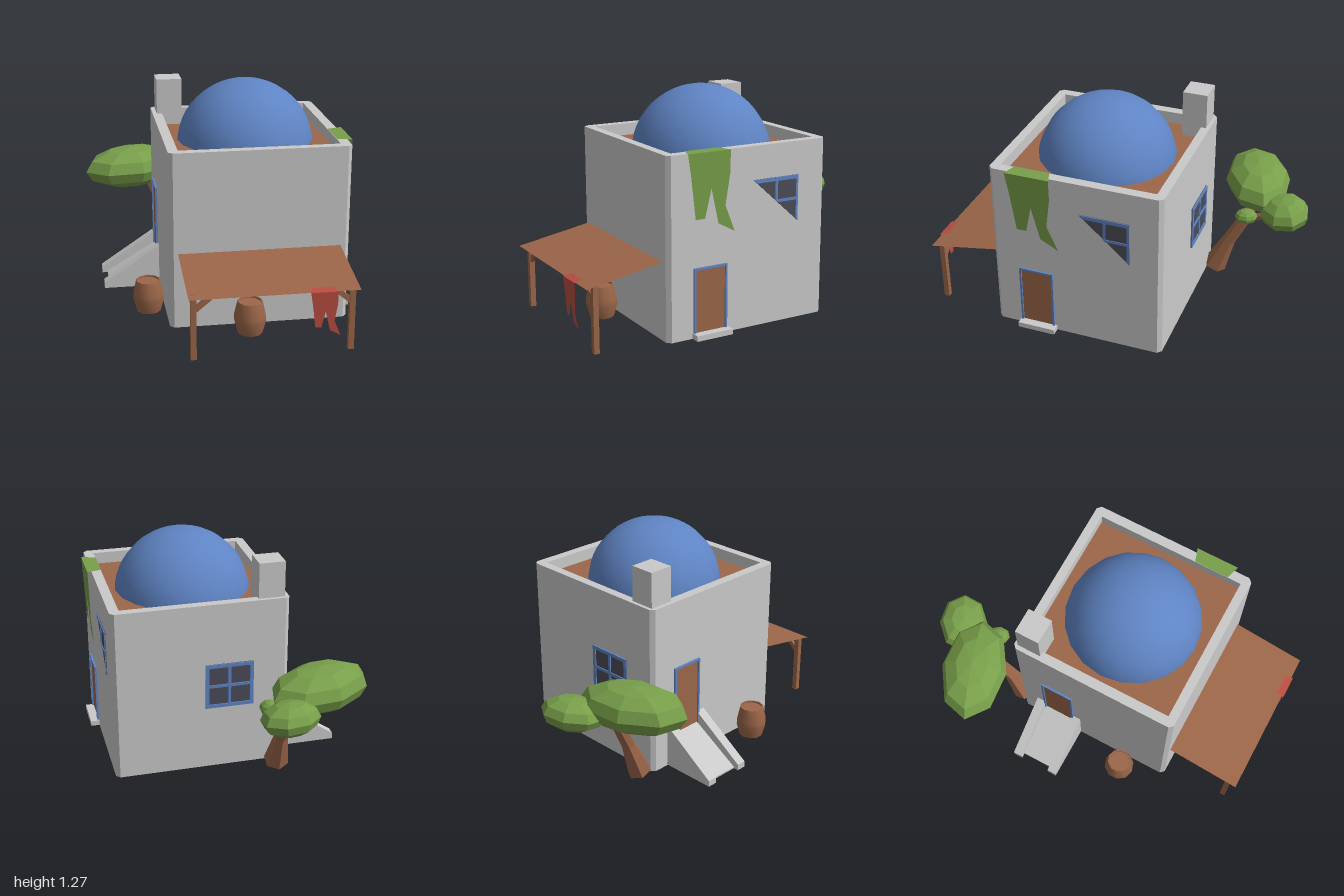
import * as THREE from 'three';
import { toCreasedNormals } from 'three/addons/utils/BufferGeometryUtils.js';

const mat = (name, color, side = THREE.FrontSide) => {
  const m = new THREE.MeshStandardMaterial({ color, side });
  m.name = name;
  return m;
};

export function createModel() {
  const plaster = mat('plaster', 0xcacaca);
  const wood = mat('wood', 0x9c6649, THREE.DoubleSide);
  const blue = mat('bluePaint', 0x5f84c4);
  const glass = mat('darkGlass', 0x4c4c58);
  const leaf = mat('green', 0x789f4a, THREE.DoubleSide);
  const red = mat('redCloth', 0xb94d40, THREE.DoubleSide);

  const model = new THREE.Group();
  model.name = 'house';

  const add = (name, geo, material, x = 0, y = 0, z = 0, parent = model) => {
    const m = new THREE.Mesh(geo, material);
    m.name = name;
    m.position.set(x, y, z);
    parent.add(m);
    return m;
  };
  // box given by its minimum and maximum corners
  const box = (name, material, a, b, parent = model) => add(name,
    new THREE.BoxGeometry(b[0] - a[0], b[1] - a[1], b[2] - a[2]), material,
    (a[0] + b[0]) / 2, (a[1] + b[1]) / 2, (a[2] + b[2]) / 2, parent);
  const poly = (pts) => new THREE.Shape(pts.map(([x, y]) => new THREE.Vector2(x, y)));
  const extrude = (shape, depth) => new THREE.ExtrudeGeometry(shape, { depth, bevelEnabled: false });
  const group = (name, x = 0, y = 0, z = 0, ry = 0) => {
    const g = new THREE.Group();
    g.name = name;
    g.position.set(x, y, z);
    g.rotation.y = ry;
    model.add(g);
    return g;
  };
  const flat = (geo) => {
    const g = geo.toNonIndexed();
    g.computeVertexNormals();
    return g;
  };

  // Walls with chamfered corners, parapet and roof terrace
  const X0 = -0.32, X1 = 0.655, Z0 = -0.405, Z1 = 0.565, c = 0.022;
  const outline = () => poly([
    [X0 + c, -Z1], [X1 - c, -Z1], [X1, -Z1 + c], [X1, -Z0 - c],
    [X1 - c, -Z0], [X0 + c, -Z0], [X0, -Z0 - c], [X0, -Z1 + c]]);
  add('walls', extrude(outline(), 0.91).rotateX(-Math.PI / 2), plaster, 0, 0.02, 0);
  const rim = outline();
  rim.holes.push(poly([[-0.265, -0.515], [-0.265, 0.355], [0.6, 0.355], [0.6, -0.515]]));
  add('parapet', extrude(rim, 0.07).rotateX(-Math.PI / 2), plaster, 0, 0.93, 0);
  box('roofTerrace', wood, [-0.265, 0.925, -0.355], [0.6, 0.933, 0.515]);
  add('dome', new THREE.SphereGeometry(0.385, 20, 12, 0, Math.PI * 2, 0, Math.PI / 2), blue, 0.165, 0.88, 0.08);
  box('chimney', plaster, [-0.295, 0.925, -0.385], [-0.15, 1.2, -0.245]);

  // Doors, drawn on a wall plane: local x along the wall, local z outward
  const door = (name, g, u0, u1, y0, y1) => {
    const f = 0.011;
    box(name + 'Panel', wood, [u0 + f, y0, -0.01], [u1 - f, y1 - f, 0.003], g);
    box(name + 'FrameTop', blue, [u0, y1 - f, -0.01], [u1, y1, 0.012], g);
    box(name + 'FrameSideA', blue, [u0, y0, -0.01], [u0 + f, y1 - f, 0.012], g);
    box(name + 'FrameSideB', blue, [u1 - f, y0, -0.01], [u1, y1 - f, 0.012], g);
  };
  const rightWall = group('rightWallDetails', X1, 0, 0, Math.PI / 2);
  const leftWall = group('leftWallDetails', X0, 0, 0, -Math.PI / 2);
  const backWall = group('backWallDetails', 0, 0, Z0, Math.PI);
  door('sideDoor', rightWall, -0.415, -0.217, 0.05, 0.4);
  door('rampDoor', leftWall, -0.245, -0.05, 0.2, 0.61);
  box('doorStep', plaster, [0.64, 0.02, 0.205], [0.705, 0.05, 0.42]);

  // Three-cornered window
  add('cornerWindowGlass', extrude(poly([[-0.055, 0.82], [0.225, 0.57], [0.225, 0.82]]), 0.004), glass, 0, 0, 0, rightWall);
  [
    [[-0.055, 0.82], [-0.033, 0.8], [0.225, 0.8], [0.225, 0.82]],
    [[0.212, 0.8], [0.212, 0.582], [0.225, 0.57], [0.225, 0.8]],
    [[0.08, 0.8], [0.08, 0.699], [0.096, 0.685], [0.096, 0.8]],
    [[0.096, 0.7], [0.096, 0.685], [0.212, 0.685], [0.212, 0.7]],
  ].forEach((p) => add('cornerWindowBar', extrude(poly(p), 0.008), blue, 0, 0, 0, rightWall));

  // Four-pane back window
  const wu = -0.15, wv = 0.39, ww = 0.27, wh = 0.26;
  box('backWindowGlass', glass, [wu, wv, -0.004], [wu + ww, wv + wh, 0.004], backWall);
  const frame = poly([[wu, wv], [wu + ww, wv], [wu + ww, wv + wh], [wu, wv + wh]]);
  const pw = (ww - 0.056) / 2, ph = (wh - 0.056) / 2;
  for (const i of [0, 1]) for (const j of [0, 1]) {
    const a = wu + 0.02 + i * (pw + 0.016), b = wv + 0.02 + j * (ph + 0.016);
    frame.holes.push(poly([[a, b], [a, b + ph], [a + pw, b + ph], [a + pw, b]]));
  }
  add('backWindowFrame', extrude(frame, 0.01), blue, 0, 0, 0, backWall);

  // Ramp between two sloping side walls
  const side = poly([[-0.64, 0.025], [-0.31, 0.025], [-0.31, 0.282], [-0.64, 0.06]]);
  add('rampSideBack', extrude(side, 0.055), plaster, 0, 0, -0.295);
  add('rampSideFront', extrude(side, 0.055), plaster, 0, 0, -0.06);
  add('ramp', extrude(poly([[-0.61, 0.025], [-0.31, 0.025], [-0.31, 0.215], [-0.61, 0.035]]), 0.18), plaster, 0, 0, -0.24);

  // Sloping awning on two braced posts
  const slope = Math.atan2(0.075, 0.425);
  add('awning', new THREE.PlaneGeometry(0.88, 0.4316), wood, 0.165, 0.4075, 0.7775).rotation.x = slope - Math.PI / 2;
  for (const s of [-1, 1]) {
    const px = 0.165 + s * 0.41;
    box('awningPost', wood, [px - 0.015, 0.02, 0.92], [px + 0.015, 0.378, 0.95]);
    const pts = [[0.395, 0.28], [0.395, 0.315], [0.33, 0.372], [0.285, 0.372]].map(([x, y]) => [0.165 + s * x, y]);
    add('awningBrace', extrude(poly(pts), 0.02), wood, 0, 0, 0.925);
  }

  // Barrels
  const profile = [[0, 0.02], [0.068, 0.02], [0.087, 0.09], [0.086, 0.12], [0.068, 0.2], [0.061, 0.2], [0.06, 0.19], [0, 0.19]]
    .map(([x, y]) => new THREE.Vector2(x, y));
  const barrel = toCreasedNormals(new THREE.LatheGeometry(profile, 10), 0.8);
  add('barrelLeft', barrel, wood, -0.413, 0, 0.31);
  add('barrelFront', barrel, wood, 0.095, 0, 0.67);

  // Trousers hung out to dry: a folded strip on top and two hanging legs
  const legs = poly([[-0.125, 0], [-0.105, -0.12], [-0.075, -0.345], [-0.02, -0.345], [0.015, -0.19],
    [0.06, -0.38], [0.16, -0.435], [0.1, -0.29], [0.125, -0.12], [0.125, 0]]);
  const fold = poly([[-0.125, 0], [0.125, 0], [0.1, 0.08], [-0.1, 0.08]]);
  const trousers = (name, material, x, y, z, ry, scale, tilt) => {
    const g = group(name, x, y, z, ry);
    g.scale.setScalar(scale);
    add(name + 'Legs', new THREE.ShapeGeometry(legs), material, 0, 0, 0, g).rotation.x = 0.03;
    add(name + 'Fold', new THREE.ShapeGeometry(fold), material, 0, 0, 0, g).rotation.x = tilt - Math.PI / 2;
  };
  trousers('greenTrousers', leaf, 0.68, 1.003, 0.335, Math.PI / 2, 1, 0);
  trousers('redTrousers', red, 0.413, 0.373, 1.0, 0, 0.565, slope);

  // Leaning tree: tapered limbs swept along curves
  const limb = (name, points, radii, steps) => {
    const curve = new THREE.CatmullRomCurve3(points.map((p) => new THREE.Vector3(...p)));
    const geo = new THREE.CylinderGeometry(1, 1, 1, 6, steps);
    const pos = geo.attributes.position, X = new THREE.Vector3(1, 0, 0);
    for (let i = 0; i < pos.count; i++) {
      const t = THREE.MathUtils.clamp(pos.getY(i) + 0.5, 0, 1);
      const k = Math.min(Math.floor(t * (radii.length - 1)), radii.length - 2);
      const r = THREE.MathUtils.lerp(radii[k], radii[k + 1], t * (radii.length - 1) - k);
      const n = new THREE.Vector3().crossVectors(X, curve.getTangent(t)).normalize();
      const p = curve.getPoint(t).addScaledVector(X, pos.getX(i) * r).addScaledVector(n, pos.getZ(i) * r);
      pos.setXYZ(i, p.x, p.y, p.z);
    }
    add(name, flat(geo), wood);
  };
  limb('trunk', [[-0.25, 0.025, -0.445], [-0.25, 0.22, -0.525], [-0.265, 0.38, -0.61], [-0.33, 0.5, -0.66]], [0.07, 0.04, 0.035, 0.028], 3);
  limb('branch', [[-0.26, 0.37, -0.6], [-0.23, 0.43, -0.69], [-0.2, 0.5, -0.83]], [0.028, 0.025, 0.02], 2);
  limb('twig', [[-0.26, 0.37, -0.6], [-0.2, 0.43, -0.63], [-0.15, 0.47, -0.65]], [0.022, 0.018, 0.014], 2);

  // Faceted foliage
  [
    [-0.42, 0.567, -0.64, 0.305, 0.125, 0.188, 0.35, 0],
    [-0.19, 0.525, -0.855, 0.175, 0.09, 0.14, 0.5, 0.15],
    [-0.145, 0.477, -0.645, 0.055, 0.043, 0.065, 0.3, 0],
  ].forEach(([x, y, z, a, b, d, ry, rx]) => {
    const m = add('foliage', flat(new THREE.SphereGeometry(1, 8, 6).scale(a, b, d)), leaf, x, y, z);
    m.rotation.set(rx, ry, 0);
  });

  return model;
}
